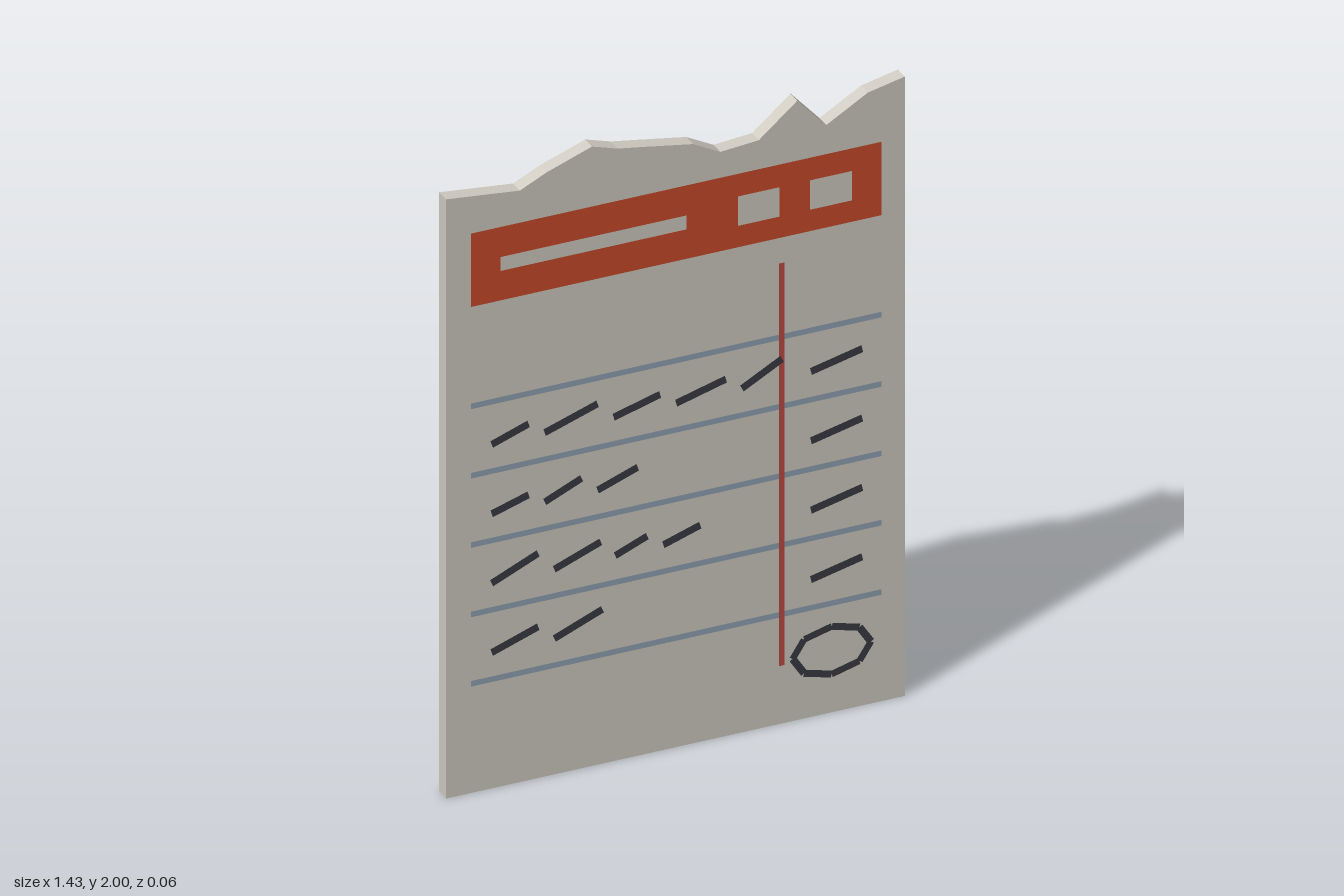
import * as THREE from 'three';

const BACK = -0.031, FRONT = 0.015;
const paint = (color) => new THREE.MeshStandardMaterial({ color, side: THREE.DoubleSide });

export function createModel() {
  const root = new THREE.Group();
  root.name = 'tornOrderSlip';
  const paper = paint(0xd2cdc3), red = paint(0xcc4a2a), blue = paint(0x93a3b6);
  const rule = paint(0xc24b44), ink = paint(0x393c45);

  const group = (name) => {
    const g = new THREE.Group();
    g.name = name;
    root.add(g);
    return g;
  };

  // Flat printed rectangle lying just in front of the slab
  const panel = (parent, name, x0, x1, y0, y1, z, material) => {
    const m = new THREE.Mesh(new THREE.PlaneGeometry(x1 - x0, y1 - y0), material);
    m.name = name;
    m.position.set((x0 + x1) / 2, (y0 + y1) / 2, z);
    parent.add(m);
  };

  // Flat pen stroke between two points
  const stroke = (parent, name, x0, y0, x1, y1, width) => {
    const dx = x1 - x0, dy = y1 - y0;
    const m = new THREE.Mesh(new THREE.PlaneGeometry(Math.hypot(dx, dy), width), ink);
    m.name = name;
    m.position.set((x0 + x1) / 2, (y0 + y1) / 2, 0.031);
    m.rotation.z = Math.atan2(dy, dx);
    parent.add(m);
  };

  // Paper slab with a torn upper edge
  const torn = [
    [0.715, 2], [0.6, 1.975], [0.47, 1.9], [0.38, 2], [0.26, 1.9], [0.14, 1.89], [0.055, 1.935],
    [-0.09, 1.96], [-0.18, 1.975], [-0.26, 2], [-0.4, 1.95], [-0.485, 1.91], [-0.715, 1.935],
  ];
  const outline = [[-0.715, 0], [0.715, 0], ...torn].map(([x, y]) => new THREE.Vector2(x, y));
  const slab = new THREE.Mesh(
    new THREE.ExtrudeGeometry(new THREE.Shape(outline), { depth: FRONT - BACK, bevelEnabled: false }), paper);
  slab.name = 'paperSlab';
  slab.position.z = BACK;
  root.add(slab);

  // Header band with its pale fields
  const header = group('header');
  panel(header, 'headerBand', -0.64, 0.64, 1.573, 1.81, 0.021, red);
  panel(header, 'titleBar', -0.55, 0.03, 1.671, 1.716, 0.026, paper);
  panel(header, 'numberBox1', 0.19, 0.32, 1.645, 1.74, 0.026, paper);
  panel(header, 'numberBox2', 0.415, 0.545, 1.645, 1.74, 0.026, paper);

  // Ruled lines and the price column rule
  const lines = group('ruledLines');
  for (let i = 0; i < 5; i++) {
    const y = 1.252 - i * 0.224;
    panel(lines, 'ruledLine', -0.64, 0.64, y - 0.009, y + 0.009, 0.021, blue);
  }
  panel(lines, 'columnRule', 0.318, 0.336, 0.193, 1.493, 0.025, rule);

  // Handwriting: each stroke is [start x, end x, rise], each row ends with a price
  const rows = [
    [[-0.58, -0.465, 0.04], [-0.415, -0.25, 0.055], [-0.2, -0.055, 0.04], [-0.005, 0.15, 0.042], [0.2, 0.325, 0.067]],
    [[-0.58, -0.465, 0.035], [-0.415, -0.3, 0.05], [-0.25, -0.125, 0.045]],
    [[-0.58, -0.435, 0.063], [-0.385, -0.24, 0.055], [-0.195, -0.095, 0.04], [-0.045, 0.07, 0.037]],
    [[-0.58, -0.435, 0.05], [-0.385, -0.235, 0.06]],
  ];
  const writing = group('handwriting');
  rows.forEach((row, i) => {
    const y = 1.12 - i * 0.224;
    for (const [x0, x1, rise] of row) stroke(writing, 'wordStroke', x0, y, x1, y + rise, 0.024);
    stroke(writing, 'priceStroke', 0.415, y + 0.005, 0.575, y + 0.042, 0.024);
  });

  // Eight-sided ring drawn around the total
  const ring = group('totalRing');
  const at = (i) => [0.48 + 0.122 * Math.cos(i * Math.PI / 4), 0.21 + 0.077 * Math.sin(i * Math.PI / 4)];
  for (let i = 0; i < 8; i++) stroke(ring, 'ringStroke', ...at(i), ...at(i + 1), 0.022);

  return root;
}
